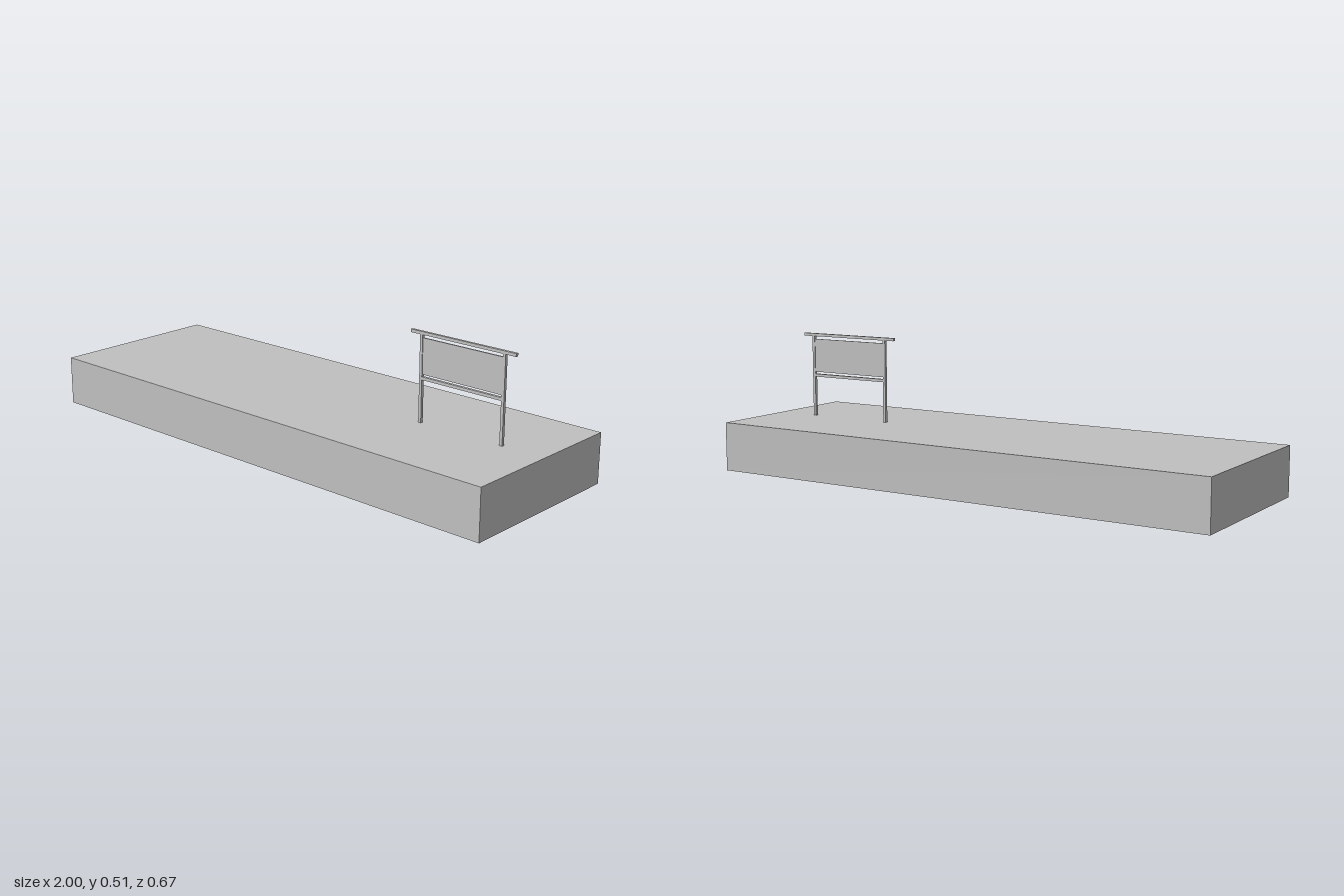
import * as THREE from 'three';

export function createModel() {
  const model = new THREE.Group();
  const grey = new THREE.MeshStandardMaterial({ color: 0xc0c0c0 });
  grey.name = 'grey';

  // Box placed by its x and y extents, with its depth and centre in z
  function addBox(name, parent, [x0, x1], [y0, y1], depth, z = 0) {
    const mesh = new THREE.Mesh(new THREE.BoxGeometry(x1 - x0, y1 - y0, depth), grey);
    mesh.name = name;
    mesh.position.set((x0 + x1) / 2, (y0 + y1) / 2, z);
    parent.add(mesh);
  }

  // Slab
  const top = 0.185;
  addBox('base', model, [-1, 1], [0, top], 0.672);

  // Sign board standing on the slab
  const sign = new THREE.Group();
  sign.name = 'signBoard';
  model.add(sign);
  const bar = 0.011, z = -0.0035, centre = 0.661, half = 0.17;

  for (const side of [-1, 1]) {
    const x = centre + side * half;
    addBox(side < 0 ? 'rightPost' : 'leftPost', sign, [x - bar / 2, x + bar / 2], [top, 0.498], bar, z);
  }
  const inner = [centre - half + bar / 2, centre + half - bar / 2];
  addBox('topRail', sign, [centre - 0.216, centre + 0.216], [0.498, 0.509], bar, z);
  addBox('lowerRail', sign, inner, [0.339, 0.35], bar, z);
  addBox('panel', sign, inner, [0.358, 0.487], 0.006, z);

  return model;
}
